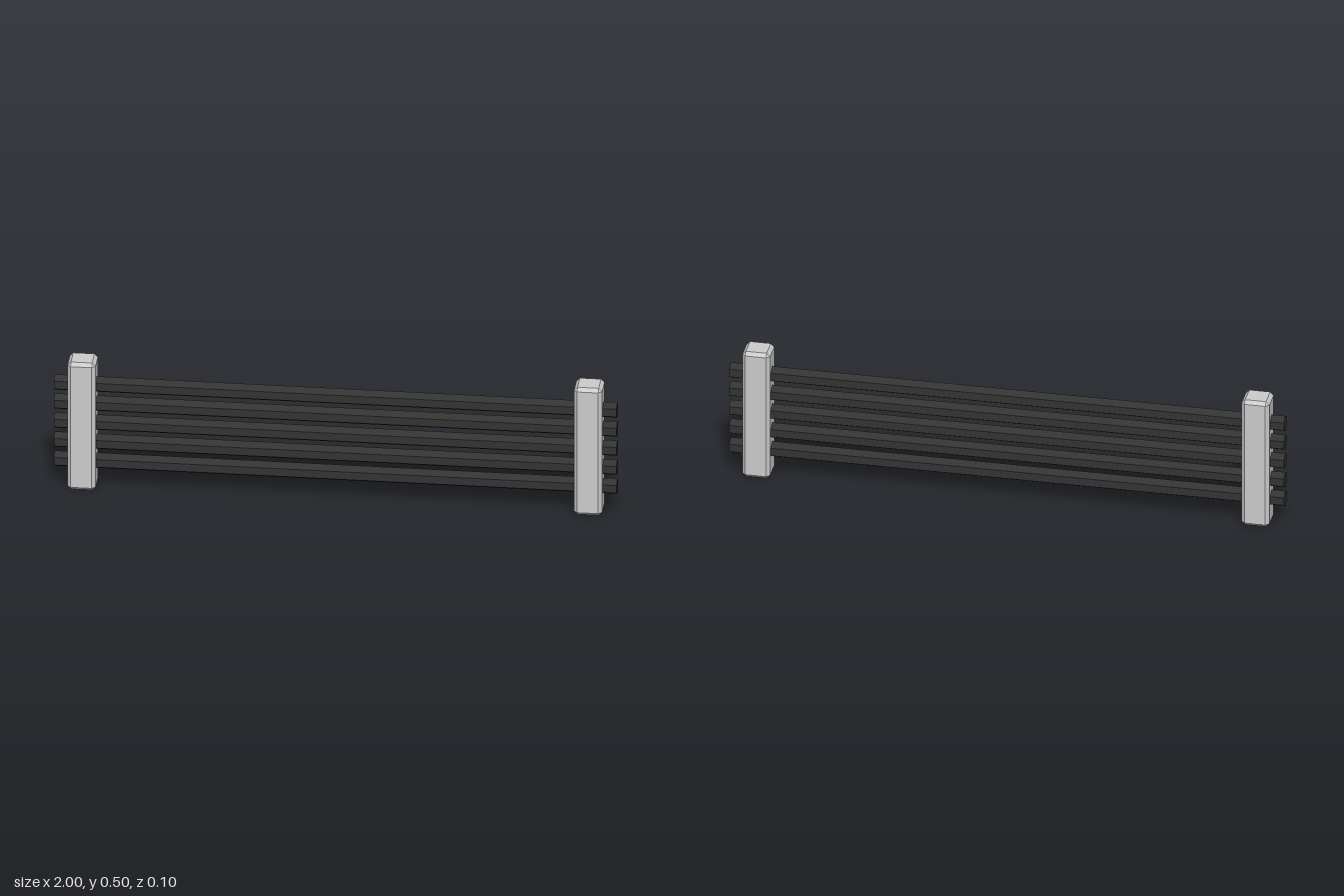
import * as THREE from 'three';
import { ConvexGeometry } from 'three/addons/geometries/ConvexGeometry.js';

// Box with every edge and corner chamfered
function chamferedBox(w, h, d, c) {
  const pts = [];
  for (const sx of [-1, 1]) for (const sy of [-1, 1]) for (const sz of [-1, 1]) {
    for (const [a, b, e] of [[0, c, c], [c, 0, c], [c, c, 0]]) {
      pts.push(new THREE.Vector3(sx * (w / 2 - a), sy * (h / 2 - b), sz * (d / 2 - e)));
    }
  }
  return new ConvexGeometry(pts);
}

export function createModel() {
  const model = new THREE.Group();
  model.name = 'railFence';
  const postMaterial = new THREE.MeshStandardMaterial({ color: 0xcccccc, flatShading: true });
  const railMaterial = new THREE.MeshStandardMaterial({ color: 0x333333, flatShading: true });

  // Two end posts
  const postGeometry = chamferedBox(0.1, 0.5, 0.1, 0.0125);
  for (const side of [-1, 1]) {
    const post = new THREE.Mesh(postGeometry, postMaterial);
    post.name = side > 0 ? 'leftPost' : 'rightPost';
    post.position.set(side * 0.9, 0.25, 0);
    model.add(post);
  }

  // Five hexagonal rails running through both posts, corner upward
  const railGeometry = new THREE.CylinderGeometry(0.03, 0.03, 2, 6);
  railGeometry.rotateY(Math.PI / 6).rotateZ(Math.PI / 2);
  for (let i = 0; i < 5; i++) {
    const rail = new THREE.Mesh(railGeometry, railMaterial);
    rail.name = `rail${i + 1}`;
    rail.position.y = 0.1 + i * 0.075;
    model.add(rail);
  }
  return model;
}
